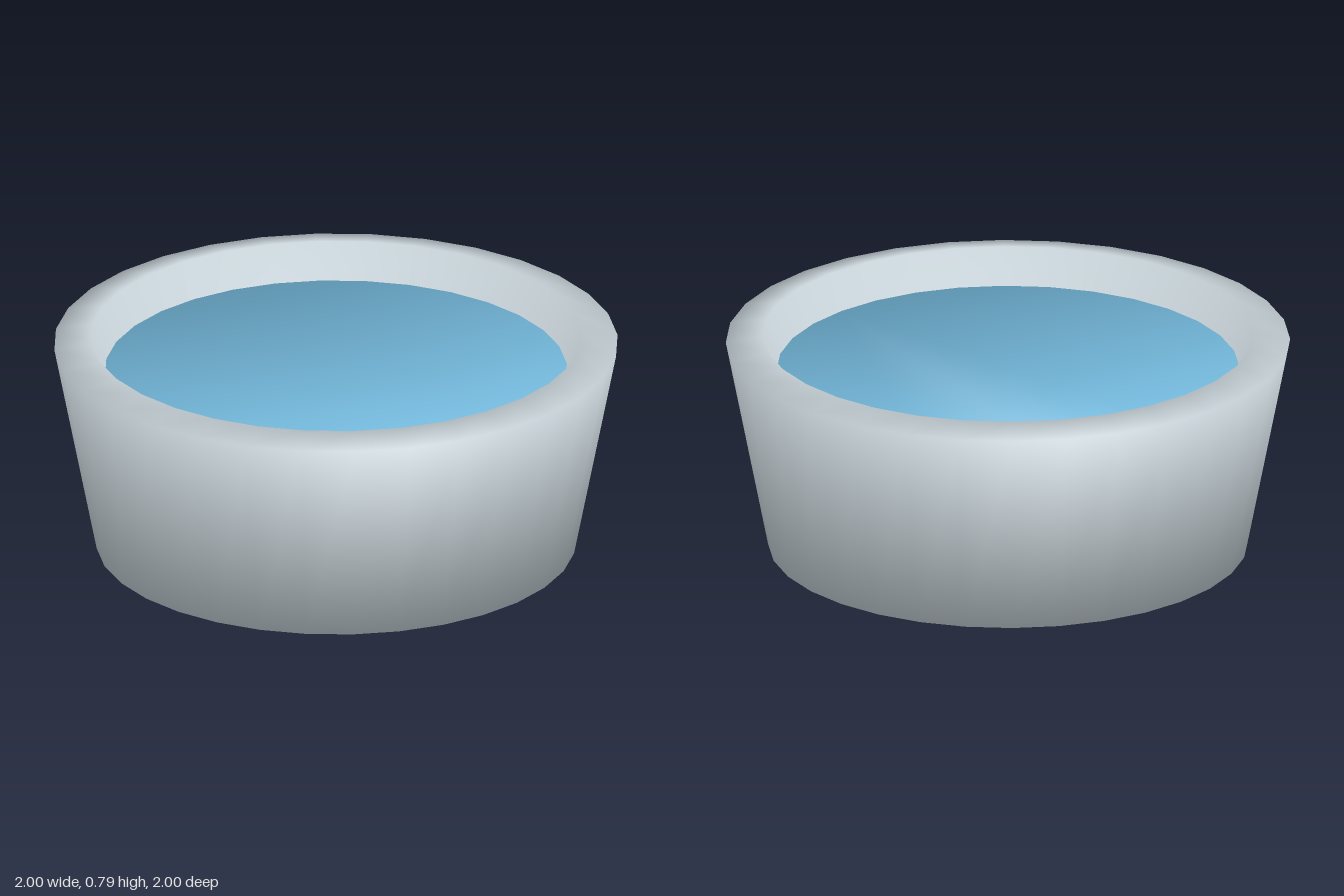
import * as THREE from 'three';

const SIDES = 32;

// Closed solid of revolution from [radius, y] rings. The ends are capped with flat
// polygons, and each ring carries the mean of its neighbouring face normals.
function turnedSolid(profile) {
  const faceNormals = [new THREE.Vector2(0, -1)];
  for (let j = 1; j < profile.length; j++) {
    const [r0, y0] = profile[j - 1];
    const [r1, y1] = profile[j];
    faceNormals.push(new THREE.Vector2(y1 - y0, r0 - r1).normalize());
  }
  faceNormals.push(new THREE.Vector2(0, 1));

  const positions = [], normals = [], indices = [];
  profile.forEach(([r, y], j) => {
    const n = faceNormals[j].clone().add(faceNormals[j + 1]).normalize();
    for (let i = 0; i < SIDES; i++) {
      const a = (i / SIDES) * Math.PI * 2;
      const s = Math.sin(a), c = Math.cos(a);
      positions.push(r * s, y, r * c);
      normals.push(n.x * s, n.y, n.x * c);
    }
  });

  // Walls between rings
  for (let j = 0; j < profile.length - 1; j++) {
    for (let i = 0; i < SIDES; i++) {
      const k = (i + 1) % SIDES;
      const a = j * SIDES + i, b = j * SIDES + k;
      indices.push(a, b, b + SIDES, a, b + SIDES, a + SIDES);
    }
  }
  // Bottom and top caps
  const last = (profile.length - 1) * SIDES;
  for (let i = 1; i < SIDES - 1; i++) {
    indices.push(0, i + 1, i);
    indices.push(last, last + i, last + i + 1);
  }

  const geometry = new THREE.BufferGeometry();
  geometry.setAttribute('position', new THREE.Float32BufferAttribute(positions, 3));
  geometry.setAttribute('normal', new THREE.Float32BufferAttribute(normals, 3));
  geometry.setIndex(indices);
  return geometry;
}

export function createModel() {
  const group = new THREE.Group();
  group.name = 'waterTub';

  const paleGrey = new THREE.MeshStandardMaterial({ color: 0xc4cfd5 });
  paleGrey.name = 'paleGrey';
  const waterBlue = new THREE.MeshStandardMaterial({ color: 0x76bce0 });
  waterBlue.name = 'waterBlue';

  // Tapered tub: outer wall, sloping rim, inner wall and floor
  const tub = new THREE.Mesh(
    turnedSolid([[0.85, 0], [1, 0.765], [0.87, 0.79], [0.77, 0.53]]), paleGrey);
  tub.name = 'tub';

  // Water filling the tub to just below the rim
  const water = new THREE.Mesh(turnedSolid([[0.82, 0.56], [0.82, 0.66]]), waterBlue);
  water.name = 'water';

  group.add(tub, water);
  return group;
}
